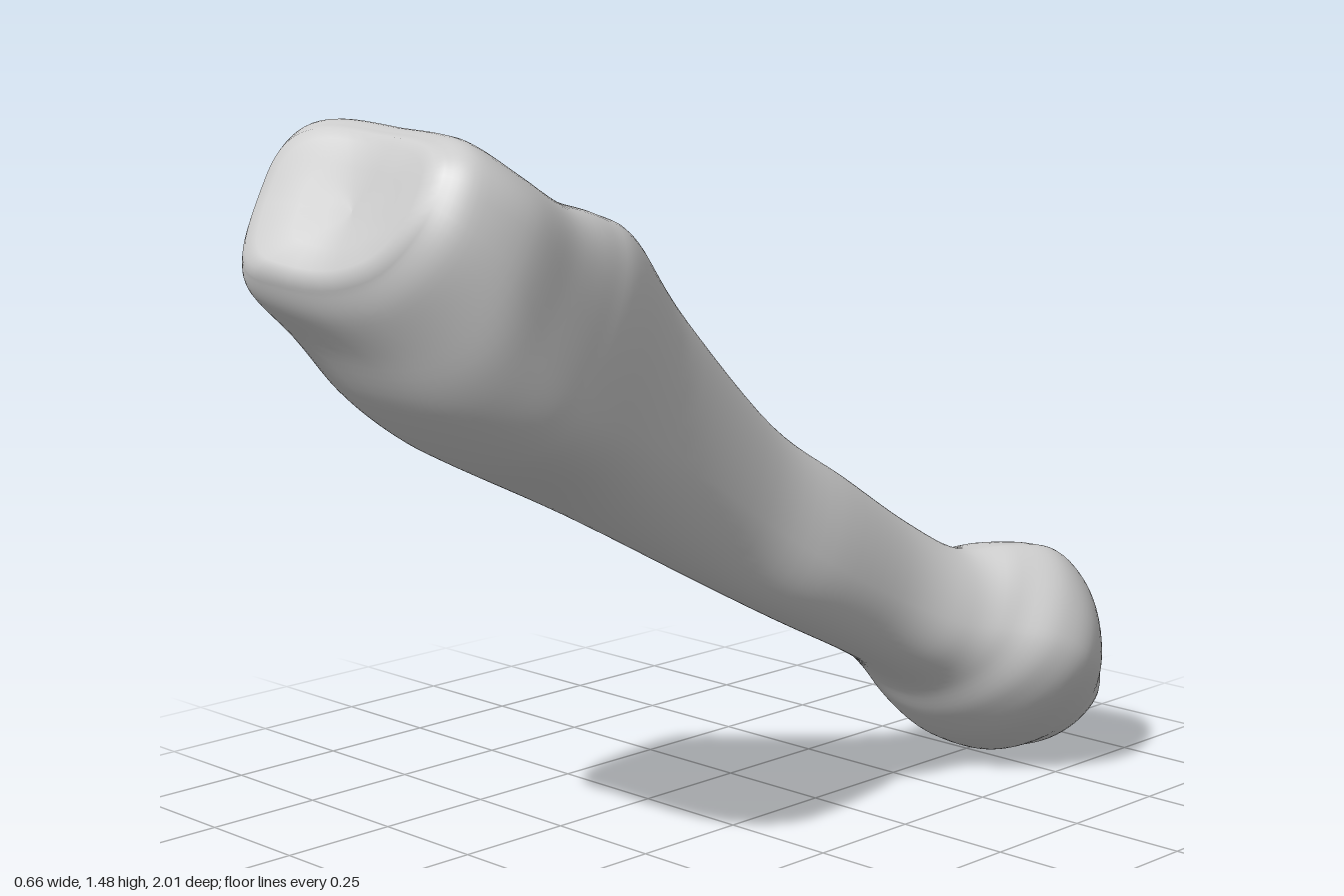
import * as THREE from 'three';

// Cross-sections along the slanted axis: s, then the four extreme points
// left (x, n), right (x, n), bottom (x, n), top (x, n), n being across the axis.
const SECTIONS = [
  [-0.70, -0.112, 0.585, 0.225, 0.615, 0.05, 0.452, 0.11, 0.737],
  [-0.62, -0.145, 0.575, 0.275, 0.63, 0.04, 0.405, 0.14, 0.79],
  [-0.50, -0.155, 0.565, 0.325, 0.63, 0.03, 0.385, 0.18, 0.825],
  [-0.40, -0.155, 0.53, 0.305, 0.63, 0.03, 0.40, 0.19, 0.83],
  [-0.32, -0.14, 0.50, 0.24, 0.61, 0.03, 0.43, 0.15, 0.795],
  [-0.24, -0.115, 0.50, 0.19, 0.58, 0.03, 0.436, 0.08, 0.74],
  [-0.10, -0.09, 0.54, 0.145, 0.56, 0.03, 0.428, 0.03, 0.735],
  [0.13, -0.095, 0.56, 0.13, 0.54, 0.02, 0.405, 0.02, 0.737],
  [0.37, -0.12, 0.55, 0.105, 0.54, 0.0, 0.388, 0.0, 0.743],
  [0.73, -0.165, 0.52, 0.14, 0.54, -0.02, 0.365, 0.02, 0.808],
  [0.97, -0.20, 0.47, 0.215, 0.51, -0.04, 0.345, 0.05, 0.86],
  [1.08, -0.25, 0.47, 0.235, 0.52, -0.06, 0.345, 0.05, 0.848],
  [1.20, -0.305, 0.54, 0.245, 0.58, -0.08, 0.365, 0.03, 0.815],
  [1.33, -0.33, 0.65, 0.25, 0.65, -0.12, 0.41, -0.02, 0.808],
  [1.44, -0.315, 0.65, 0.215, 0.66, -0.17, 0.44, -0.06, 0.812],
  [1.49, -0.27, 0.63, 0.165, 0.67, -0.18, 0.47, -0.06, 0.78],
];
const AROUND = 64;
const STEPS = 6;
const { smoothstep, lerp, clamp } = THREE.MathUtils;

// Smooth interpolation through the section table
function sectionAt(t) {
  const i = Math.min(Math.floor(t), SECTIONS.length - 2);
  const f = t - i;
  const row = (k) => SECTIONS[clamp(k, 0, SECTIONS.length - 1)];
  return row(i).map((b, c) => {
    const a = row(i - 1)[c], d = row(i + 1)[c], e = row(i + 2)[c];
    const m0 = (d - a) / 2, m1 = (e - b) / 2;
    const f2 = f * f, f3 = f2 * f;
    return (2 * f3 - 3 * f2 + 1) * b + (f3 - 2 * f2 + f) * m0 + (3 * f2 - 2 * f3) * d + (f3 - f2) * m1;
  });
}

// Roundness of one quarter: below 1 is boxy, above 1 is pointed
function quarterPower(s, isRight, isTop) {
  const head = 1 - smoothstep(s, -0.45, -0.2);
  const base = isTop ? smoothstep(s, 0.8, 1.3) : smoothstep(s, 0.6, 1.1);
  const end = isRight && !isTop ? smoothstep(s, 1.25, 1.49) : 0;
  const boxy = isRight || isTop ? 0.3 : 0.4;
  return 1 + head * (isRight ? 0.15 : -0.1) - boxy * base + 0.22 * end;
}

// Closed ring of four quarter arcs joining the extreme points
function addRing(out, section, offset = 0, scale = 1) {
  const [s, xl, nl, xr, nr, xb, nb, xt, nt] = section;
  const cx = (xl + xr) / 2, cn = (nb + nt) / 2;
  const end = smoothstep(s, 1.2, 1.49);
  for (let j = 0; j < AROUND; j++) {
    const a = (j / AROUND) * Math.PI * 2;
    const c = Math.cos(a), d = Math.sin(a);
    const isRight = c >= 0, isTop = d >= 0;
    const power = quarterPower(s, isRight, isTop);
    const sx = isRight ? xr : xl, sn = isRight ? nr : nl;
    const ex = isTop ? xt : xb, en = isTop ? nt : nb;
    const x = lerp(cx, lerp(ex, sx, Math.abs(c) ** power), scale);
    const n = lerp(cn, lerp(sn, en, Math.abs(d) ** power), scale);
    // the joint face has a forward lobe on each side and a trough between
    const saddle = 0.025 - 0.055 * smoothstep(x, -0.27, -0.03) + 0.025 * smoothstep(x, 0.03, 0.2);
    const along = s + offset + end * (saddle + 0.1 * (n - 0.6));
    out.push(x, 0.54 * along + 0.84 * n, 0.84 * along - 0.54 * n);
  }
}

function boneGeometry() {
  const points = [];
  const last = SECTIONS.length - 1;
  // domed head end
  for (let i = 0; i < 8; i++) {
    const a = (i / 8) * Math.PI / 2;
    addRing(points, SECTIONS[0], -0.0785 * Math.cos(a), Math.sin(a));
  }
  // head, shaft and base
  for (let i = 0; i <= last * STEPS; i++) addRing(points, sectionAt(i / STEPS));
  // joint face at the base
  for (const [o, k] of [[0.012, 0.93], [0.018, 0.8], [0.016, 0.5], [0.013, 0.25], [0.012, 0]]) {
    addRing(points, SECTIONS[last], o, k);
  }
  const rings = points.length / 3 / AROUND;
  const index = [];
  for (let i = 0; i < rings - 1; i++) {
    for (let j = 0; j < AROUND; j++) {
      const a = i * AROUND + j, b = i * AROUND + ((j + 1) % AROUND);
      const c = a + AROUND, d = b + AROUND;
      // single triangles where a ring closes to a point
      if (i === 0) index.push(a, d, c);
      else if (i === rings - 2) index.push(a, b, c);
      else index.push(a, b, c, b, d, c);
    }
  }
  const geometry = new THREE.BufferGeometry();
  geometry.setAttribute('position', new THREE.Float32BufferAttribute(points, 3));
  geometry.setIndex(index);
  geometry.computeVertexNormals();
  return geometry;
}

export function createModel() {
  const group = new THREE.Group();
  group.name = 'bone';
  const material = new THREE.MeshStandardMaterial({ color: 0xcccccc });
  material.name = 'light grey';
  const bone = new THREE.Mesh(boneGeometry(), material);
  bone.name = 'boneBody';
  group.add(bone);
  return group;
}
